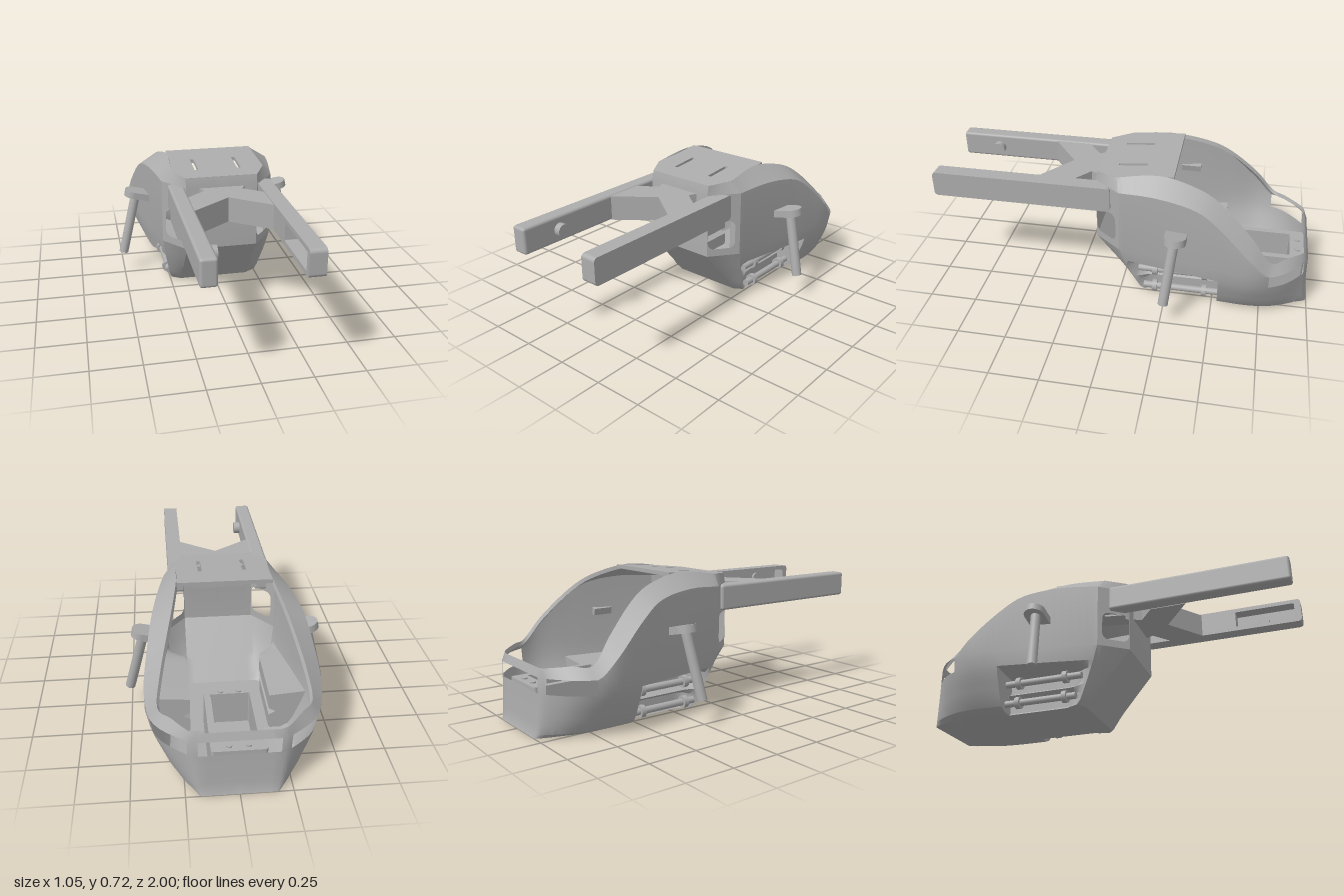
import * as THREE from 'three';
import { toCreasedNormals } from 'three/addons/utils/BufferGeometryUtils.js';
import { RoundedBoxGeometry } from 'three/addons/geometries/RoundedBoxGeometry.js';

const grey = new THREE.MeshStandardMaterial({ color: 0xacacac, side: THREE.DoubleSide });
grey.name = 'plainGrey';

function add(parent, name, geometry, x = 0, y = 0, z = 0) {
  const m = new THREE.Mesh(geometry, grey);
  m.name = name;
  m.position.set(x, y, z);
  parent.add(m);
  return m;
}

function roundRect(path, x0, y0, x1, y1, r) {
  path.moveTo(x0 + r, y0);
  path.lineTo(x1 - r, y0); path.absarc(x1 - r, y0 + r, r, -Math.PI / 2, 0);
  path.lineTo(x1, y1 - r); path.absarc(x1 - r, y1 - r, r, 0, Math.PI / 2);
  path.lineTo(x0 + r, y1); path.absarc(x0 + r, y1 - r, r, Math.PI / 2, Math.PI);
  path.lineTo(x0, y0 + r); path.absarc(x0 + r, y0 + r, r, Math.PI, Math.PI * 1.5);
  return path;
}

function rod(parent, name, a, b, r) {
  const p = new THREE.Vector3(...a), d = new THREE.Vector3(...b).sub(p);
  const m = add(parent, name, new THREE.CylinderGeometry(r, r, d.length(), 24));
  m.position.copy(p).addScaledVector(d, 0.5);
  m.quaternion.setFromUnitVectors(new THREE.Vector3(0, 1, 0), d.normalize());
  return m;
}

// Stations around the plan, front centre to rear centre:
// wall x, wall z, bottom x, bottom z, wall top y, rim x, rim z, rim y
const STATIONS = [
  [0, .14, 0, -.1, .635, 0, .13, .685],
  [.19, .14, .19, -.1, .635, .19, .13, .685],
  [.30, 0, .24, -.13, .635, .25, .02, .695],
  [.335, -.2, .25, -.25, .645, .24, -.2, .72],
  [.37, -.4, .26, -.4, .615, .265, -.4, .68],
  [.395, -.53, .26, -.53, .53, .295, -.53, .61],
  [.42, -.68, .26, -.68, .385, .34, -.68, .47],
  [.40, -.78, .25, -.8, .29, .36, -.78, .35],
  [.345, -.87, .22, -.9, .29, .30, -.86, .345],
  [.24, -.955, .19, -.985, .29, .225, -.945, .335],
  [.19, -.975, .17, -1, .29, .18, -.96, .33],
  [0, -.975, 0, -1, .29, 0, -.96, .33],
];
const FOOT = .29, SUB = 5;
const HULL_Y = [0, .02, .06, .1, .14, .18, .215];
const ROUND = [0, .3, .48, .6, .72, .83, .9];
const RECESS = [[.21, 0], [.2, .01], [.2, .08], [.235, .1], [.2, .12], [.2, .2]];

// Smooth interpolation between stations 2 and 10, straight elsewhere
function sample(t) {
  const i = Math.min(Math.floor(t), STATIONS.length - 2), f = t - i;
  const S = (k) => STATIONS[i >= 2 && i <= 9 ? THREE.MathUtils.clamp(k, 2, 10) : k];
  if (i < 2 || i > 9) return S(i).map((v, c) => v + (S(i + 1)[c] - v) * f);
  const [a, b, c, d] = [S(i - 1), S(i), S(i + 1), S(i + 2)];
  return b.map((v, n) => {
    const v0 = (c[n] - a[n]) / 2, v1 = (d[n] - b[n]) / 2;
    return (2 * v - 2 * c[n] + v0 + v1) * f ** 3 + (3 * c[n] - 3 * v - 2 * v0 - v1) * f * f + v0 * f + v;
  });
}

// One column of shell points from the keel up to the rim lip
function column(t, recess) {
  const [wx, wz, bx, bz, top, ux, uz, uy] = sample(t);
  const round = THREE.MathUtils.clamp((t - 1) / 2.5, 0, 1);
  const wallTop = Math.max(top, FOOT);
  const col = [[0, 0, bz]];
  HULL_Y.forEach((y, j) => {
    const f = THREE.MathUtils.lerp(y / FOOT, ROUND[j], round);
    let x = bx + (wx - bx) * f, yy = y;
    if (recess > 0 && j < RECESS.length) {
      x = THREE.MathUtils.lerp(x, RECESS[j][0], recess);
      yy = THREE.MathUtils.lerp(y, RECESS[j][1], recess);
    }
    col.push([x, yy, bz + (wz - bz) * f]);
  });
  col.push([wx, FOOT, wz], [wx, wallTop, wz], [ux, uy, uz], [ux * .97, uy - .02, uz]);
  return col;
}

function shellGeometry() {
  const cols = [];
  for (let k = 0; k <= (STATIONS.length - 1) * SUB; k++) {
    const t = k / SUB, z = sample(t)[1];
    const recess = t <= 5 ? THREE.MathUtils.clamp(-z / .12, 0, 1) : 0;
    cols.push({ t, p: column(t, recess) });
    if (t === 5) cols.push({ t, p: column(t, 0) }); // end wall of the side recess
  }
  const pos = [], v = () => new THREE.Vector3();
  const tri = (a, b, c) => {
    const n = v().subVectors(v().fromArray(b), v().fromArray(a)).cross(v().subVectors(v().fromArray(c), v().fromArray(a)));
    if (n.length() > 1e-8) pos.push(...a, ...b, ...c);
  };
  for (let i = 0; i < cols.length - 1; i++) {
    const mid = (cols[i].t + cols[i + 1].t) / 2, A = cols[i].p, B = cols[i + 1].p;
    for (let j = 0; j < A.length - 1; j++) {
      if (j === 7 && ((mid > 7 && mid < 9) || mid > 10)) continue; // rear windows
      if (j === 8 && mid > 1 && mid < 2) continue;                 // front window panel
      tri(A[j], B[j], B[j + 1]);
      tri(A[j], B[j + 1], A[j + 1]);
    }
  }
  const g = new THREE.BufferGeometry();
  g.setAttribute('position', new THREE.Float32BufferAttribute(pos, 3));
  return toCreasedNormals(g, 0.5);
}

// Everything that is the same on both sides
function buildSide() {
  const side = new THREE.Group();
  add(side, 'bodyShell', shellGeometry());

  // angled front panel with a rounded window
  const w = Math.hypot(.11, .14);
  const panel = new THREE.Shape([[0, FOOT], [w, FOOT], [w, .635], [0, .635]].map((p) => new THREE.Vector2(...p)));
  panel.holes.push(roundRect(new THREE.Path(), .004, .33, .152, .485, .035));
  add(side, 'frontWindowPanel', new THREE.ShapeGeometry(panel, 8), .19, 0, .14).rotation.y = Math.atan2(.14, .11);

  // twin rods with collars in the side recess
  for (const [y, z] of [[.155, -.1], [.045, -.13]]) {
    rod(side, 'sideRod', [.255, y, z], [.255, y, -.53], .018);
    for (const c of [-.19, -.455]) rod(side, 'rodCollar', [.255, y, c + .013], [.255, y, c - .013], .032);
  }

  // side handle: tilted rounded head and slanted grip
  const head = new THREE.Shape();
  head.moveTo(-.07, -.055);
  head.lineTo(.015, -.055);
  head.absarc(.015, 0, .055, -Math.PI / 2, Math.PI / 2);
  head.lineTo(-.07, .055);
  const headGeo = new THREE.ExtrudeGeometry(head, { depth: .038, bevelEnabled: false, curveSegments: 16 });
  headGeo.rotateX(-Math.PI / 2);
  add(side, 'handleHead', headGeo, .412, .447, -.305).rotation.z = .22;
  rod(side, 'handleGrip', [.418, .455, -.30], [.502, .125, -.265], .026);
  return side;
}

export function createModel() {
  const model = new THREE.Group();
  const left = buildSide(), right = left.clone();
  left.name = 'leftSide';
  right.name = 'rightSide';
  right.scale.x = -1;
  model.add(left, right);

  // sloped roof plate with two slots
  const half = [[.19, -.13], [.25, -.02], [.24, .27]];
  const outline = [...half, ...half.map(([x, y]) => [-x, y]).reverse()];
  const roof = new THREE.Shape(outline.map((p) => new THREE.Vector2(...p)));
  for (const x of [-.115, .115]) roof.holes.push(roundRect(new THREE.Path(), x - .01, -.03, x + .01, .12, .004));
  const roofGeo = new THREE.ExtrudeGeometry(roof, { depth: .02, bevelEnabled: false });
  roofGeo.rotateX(-Math.PI / 2);
  const rp = roofGeo.attributes.position;
  for (let i = 0; i < rp.count; i++) rp.setY(i, rp.getY(i) + .666 + (.13 - rp.getZ(i)) * .0875);
  roofGeo.computeVertexNormals();
  add(model, 'roofPlate', roofGeo);

  // crossed brace between the beams
  const arm = [[.2, -.45], [.2, -.26], [.1, -.18], [.14, -.1]];
  const bracePts = [[0, -.3], ...arm, ...arm.map(([x, y]) => [-x, y]).reverse()];
  const braceGeo = new THREE.ExtrudeGeometry(new THREE.Shape(bracePts.map((p) => new THREE.Vector2(...p))), { depth: .13, bevelEnabled: false });
  braceGeo.rotateX(-Math.PI / 2);
  add(model, 'crossBrace', braceGeo, 0, .5, 0);

  // right beam with its knob
  add(model, 'rightBeam', new RoundedBoxGeometry(.08, .135, .95, 4, .014), -.235, .5675, .525);
  rod(model, 'beamKnob', [-.2, .565, .79], [-.16, .565, .79], .034);

  // left beam, pocketed on its inner face
  const beamPart = (name, pocket, depth, x) => {
    const s = roundRect(new THREE.Shape(), .05, .5, 1, .635, .02);
    if (pocket) s.holes.push(roundRect(new THREE.Path(), .64, .522, .965, .613, .006));
    add(model, name, new THREE.ExtrudeGeometry(s, { depth, bevelEnabled: false }), x).rotation.y = -Math.PI / 2;
  };
  beamPart('leftBeam', true, .07, .265);
  beamPart('leftBeamOuterFace', false, .01, .275);
  rod(model, 'pocketBoss', [.266, .565, .79], [.25, .565, .79], .03);

  // open tray on the cabin floor, with screws
  const tray = roundRect(new THREE.Shape(), -.13, .48, .13, .965, .015);
  tray.holes.push(roundRect(new THREE.Path(), -.097, .53, .097, .89, .005));
  const trayGeo = new THREE.ExtrudeGeometry(tray, { depth: .215, bevelEnabled: false });
  trayGeo.rotateX(-Math.PI / 2);
  add(model, 'trayWalls', trayGeo, 0, .01, 0);
  add(model, 'trayFloor', new THREE.BoxGeometry(.2, .02, .37), 0, .04, -.71);
  for (const x of [-.045, .045]) for (const z of [-.51, -.93]) {
    rod(model, 'trayScrew', [x, .22, z], [x, .232, z], .014);
  }
  return model;
}
